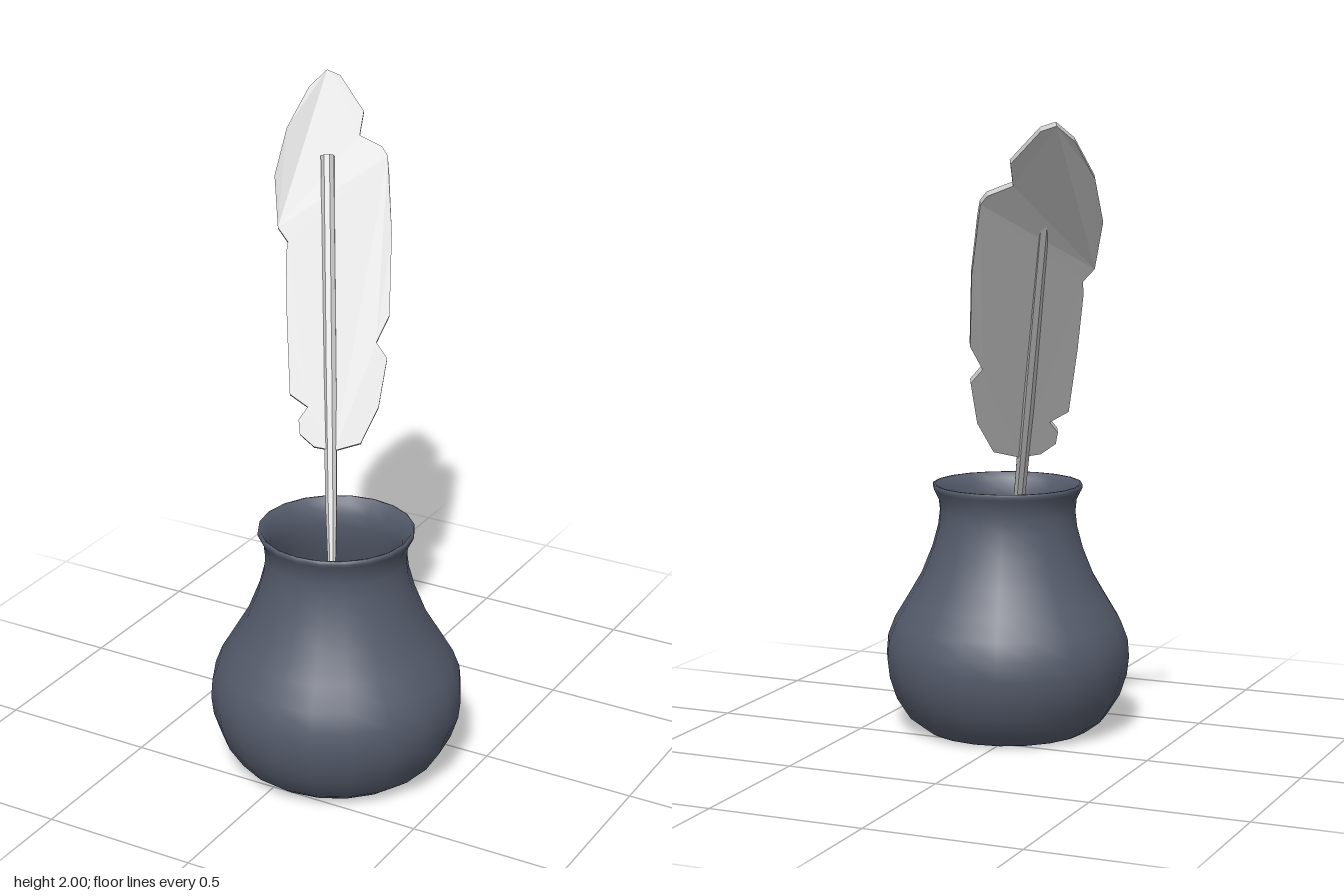
import * as THREE from 'three';

const grey = new THREE.MeshStandardMaterial({ color: 0xcccccc, flatShading: true });
const potMaterial = new THREE.MeshStandardMaterial({ color: 0x555b6b });

// The quill's axis: x and z at height y
const axisX = (y) => -0.04 - 0.302 * (y - 0.81);
const axisZ = (y) => 0.06 - 0.51 * (y - 0.81);
const axisPoint = (y) => new THREE.Vector3(axisX(y), y, axisZ(y));

function makeMesh(name, geometry, material) {
  const mesh = new THREE.Mesh(geometry, material);
  mesh.name = name;
  return mesh;
}

// Hollow pot: outer wall upward, rim, then the inner wall down to the floor
function makePot() {
  const outer = [
    [0.27, 0], [0.285, 0.01], [0.325, 0.04], [0.37, 0.11], [0.393, 0.18], [0.4, 0.24],
    [0.395, 0.3], [0.372, 0.36], [0.33, 0.43], [0.283, 0.51], [0.247, 0.6], [0.228, 0.67],
    [0.222, 0.72], [0.226, 0.76], [0.241, 0.79],
  ];
  const rim = [[0.245, 0.8], [0.244, 0.81], [0.236, 0.81]];
  const inner = outer.slice(2).reverse().map(([r, y]) => [r - 0.018, y]);
  const floor = [[0.26, 0.025], [0.26, 0.025], [0, 0.025]];
  const profile = [[0, 0], ...outer, ...rim, ...inner, ...floor].map(([r, y]) => new THREE.Vector2(r, y));
  const pot = makeMesh('inkPot', new THREE.LatheGeometry(profile, 20), potMaterial);
  pot.position.set(0.075, 0, 0.23);
  return pot;
}

// Pointed shaft, thin at the nib
function makeShaft() {
  const start = axisPoint(0.44);
  const end = axisPoint(1.77);
  const length = start.distanceTo(end);
  const profile = [[0, 0], [0.007, 0.02], [0.019, 0.4], [0.023, 0.8], [0.023, length], [0, length]]
    .map(([r, y]) => new THREE.Vector2(r, y));
  const shaft = makeMesh('quillShaft', new THREE.LatheGeometry(profile, 8), grey);
  shaft.position.copy(start);
  shaft.quaternion.setFromUnitVectors(new THREE.Vector3(0, 1, 0), end.sub(start).normalize());
  return shaft;
}

// Notched vane: extruded outline laid on a leaning sheet whose tip bends back
function makeVane() {
  const outline = [
    [-0.435, 1.995], [-0.465, 1.95], [-0.48, 1.84], [-0.465, 1.71], [-0.41, 1.565], [-0.37, 1.525],
    [-0.365, 1.49], [-0.31, 1.31], [-0.24, 1.1], [-0.18, 1.065], [-0.195, 1.03], [-0.18, 0.99],
    [-0.13, 0.955], [-0.07, 0.945], [-0.003, 0.965], [0.018, 1.065], [0.003, 1.2], [-0.04, 1.245],
    [-0.025, 1.32], [-0.085, 1.55], [-0.145, 1.72], [-0.165, 1.765], [-0.19, 1.79], [-0.265, 1.82],
    [-0.28, 1.885], [-0.39, 1.98],
  ];
  const shape = new THREE.Shape(outline.map(([x, y]) => new THREE.Vector2(x, y)));
  const thickness = 0.024;
  const geometry = new THREE.ExtrudeGeometry(shape, { depth: thickness, bevelEnabled: false });
  const slope = -0.55;
  const normal = new THREE.Vector3(-slope, 0.51 - slope * 0.302, 1).normalize();
  const position = geometry.attributes.position;
  const p = new THREE.Vector3();
  for (let i = 0; i < position.count; i++) {
    p.fromBufferAttribute(position, i);
    const offset = p.z - thickness / 2;
    const bend = 0.09 * (Math.max(0, p.y - 1.6) / 0.4) ** 2;
    p.z = axisZ(p.y) + slope * (p.x - axisX(p.y)) - bend;
    p.addScaledVector(normal, offset);
    position.setXYZ(i, p.x, p.y, p.z);
  }
  geometry.computeVertexNormals();
  return makeMesh('featherVane', geometry, grey);
}

export function createModel() {
  const model = new THREE.Group();
  model.name = 'quillAndInkPot';
  const quill = new THREE.Group();
  quill.name = 'quill';
  quill.add(makeShaft(), makeVane());
  model.add(makePot(), quill);
  return model;
}
